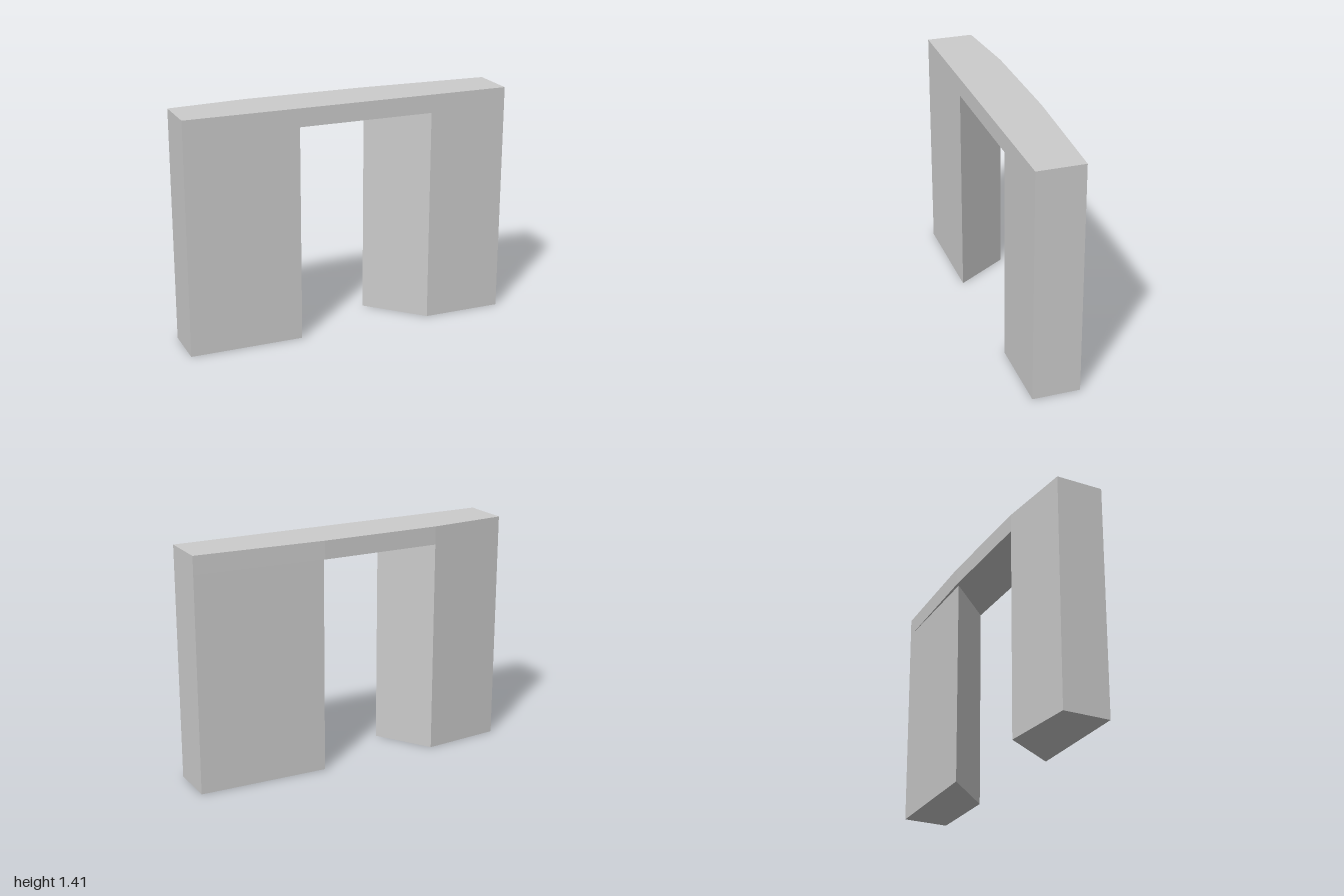
import * as THREE from 'three';

const FRONT = 0.162;
const DOOR_TOP = 1.3;
const TOP = 1.41;

// Upright prism from a floor plan of [x, z] corners
function prism(name, plan, bottom, top, material) {
  const shape = new THREE.Shape(plan.map(([x, z]) => new THREE.Vector2(x, -z)));
  const geometry = new THREE.ExtrudeGeometry(shape, { depth: top - bottom, bevelEnabled: false });
  geometry.rotateX(-Math.PI / 2).translate(0, bottom, 0);
  const mesh = new THREE.Mesh(geometry, material);
  mesh.name = name;
  return mesh;
}

export function createModel() {
  const group = new THREE.Group();
  group.name = 'wallWithDoorway';
  const material = new THREE.MeshStandardMaterial({ color: 0xcccccc, flatShading: true });

  // Wall beside the doorway, right side, with a slanted jamb
  group.add(prism('rightWall', [
    [-1, FRONT], [-0.313, FRONT], [-0.522, -0.162], [-1, -0.123],
  ], 0, DOOR_TOP, material));

  // Wall beside the doorway, left side, its back slightly recessed under the lintel
  group.add(prism('leftWall', [
    [0.515, FRONT], [1, FRONT], [1, -0.123], [0.213, -0.144],
  ], 0, DOOR_TOP, material));

  // Lintel spanning the full width, with a faceted back
  group.add(prism('lintel', [
    [-1, FRONT], [1, FRONT], [1, -0.123], [0.213, -0.161], [-0.522, -0.162], [-1, -0.123],
  ], DOOR_TOP, TOP, material));

  return group;
}
